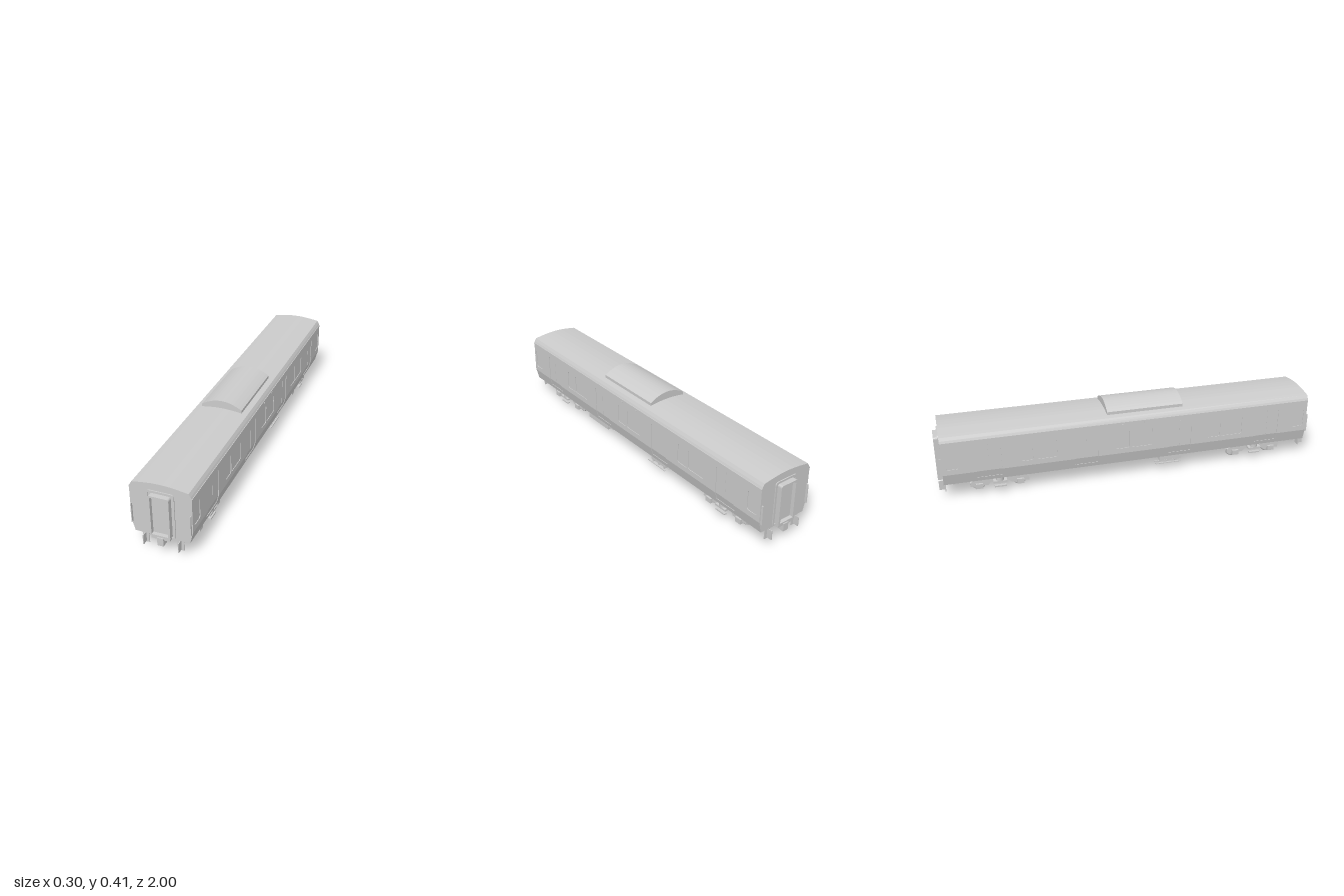
import * as THREE from 'three';

const mat = new THREE.MeshStandardMaterial({ color: 0xcccccc, side: THREE.DoubleSide });
const W = 0.148, L = 0.975, T = 0.003, BEND = 0.15; // half width, half length, skin depth, side bend height

function add(parent, name, geo, x = 0, y = 0, z = 0) {
  const m = new THREE.Mesh(geo, mat);
  m.name = name;
  m.position.set(x, y, z);
  parent.add(m);
  return m;
}

// box given by its limits
function box(parent, name, x0, x1, y0, y1, z0, z1) {
  return add(parent, name, new THREE.BoxGeometry(x1 - x0, y1 - y0, z1 - z0),
    (x0 + x1) / 2, (y0 + y1) / 2, (z0 + z1) / 2);
}

const poly = pts => new THREE.Shape(pts.map(p => new THREE.Vector2(...p)));

const extrude = (shape, depth) =>
  new THREE.ExtrudeGeometry(shape, { depth, bevelEnabled: false, curveSegments: 6 });

function roundRect(C, x0, x1, y0, y1, r, rb = r) {
  const s = new C();
  s.moveTo(x0 + rb, y0);
  s.lineTo(x1 - rb, y0);
  s.quadraticCurveTo(x1, y0, x1, y0 + rb);
  s.lineTo(x1, y1 - r);
  s.quadraticCurveTo(x1, y1, x1 - r, y1);
  s.lineTo(x0 + r, y1);
  s.quadraticCurveTo(x0, y1, x0, y1 - r);
  s.lineTo(x0, y0 + rb);
  s.quadraticCurveTo(x0, y0, x0 + rb, y0);
  return s;
}

const doors = [-0.745, -0.25, 0.25, 0.745];
const DW = 0.0625;

// one outer side skin with door slots and window openings, facing +x
function makeSide() {
  const g = new THREE.Group();
  const upper = new THREE.Shape();
  upper.moveTo(-L, BEND);
  for (const d of doors) {
    upper.lineTo(d - DW, BEND);
    upper.lineTo(d - DW, 0.285);
    upper.quadraticCurveTo(d - DW, 0.297, d - DW + 0.012, 0.297);
    upper.lineTo(d + DW - 0.012, 0.297);
    upper.quadraticCurveTo(d + DW, 0.297, d + DW, 0.285);
    upper.lineTo(d + DW, BEND);
  }
  upper.lineTo(L, BEND);
  upper.lineTo(L, 0.325);
  upper.lineTo(-L, 0.325);
  for (const c of [-0.5, 0, 0.5]) {
    upper.holes.push(roundRect(THREE.Path, c - 0.098, c - 0.025, 0.178, 0.28, 0.012));
    upper.holes.push(roundRect(THREE.Path, c - 0.019, c + 0.098, 0.178, 0.28, 0.012));
  }
  for (const c of [-0.925, 0.925])
    upper.holes.push(roundRect(THREE.Path, c - 0.032, c + 0.032, 0.178, 0.28, 0.014));
  add(g, 'upperSidePanel', extrude(upper, T).rotateY(Math.PI / 2), W - T);

  const pts = [[-L, 0.09], [L, 0.09], [L, BEND]];
  for (const d of [...doors].reverse())
    pts.push([d + DW, BEND], [d + DW, 0.112], [d - DW, 0.112], [d - DW, BEND]);
  pts.push([-L, BEND]);
  const low = extrude(poly(pts), T).rotateY(Math.PI / 2);
  const p = low.attributes.position;
  for (let i = 0; i < p.count; i++) // lean the lower skin inward
    p.setX(i, p.getX(i) - (BEND - p.getY(i)) * 0.26);
  low.computeVertexNormals();
  add(g, 'lowerSidePanel', low, W - T);

  // meeting line of the door leaves, gutter and end handrails
  for (const d of doors) box(g, 'doorSeam', W - T, W - T + 0.001, BEND, 0.295, d - 0.001, d + 0.001);
  box(g, 'gutter', W - 0.001, W + 0.002, 0.321, 0.327, -L, L);
  for (const s of [-1, 1]) {
    box(g, 'cornerHandrail', 0.139, 0.143, 0.14, 0.24, s * 0.98 - 0.006, s * 0.98 + 0.006);
    box(g, 'markerLamp', W, W + 0.003, 0.309, 0.317, s * 0.06 - 0.004, s * 0.06 + 0.004);
  }
  return g;
}

// gangway and underhung fittings of the +z end
function makeEnd() {
  const g = new THREE.Group();
  const outer = roundRect(THREE.Shape, -0.066, 0.066, 0.1, 0.33, 0.018, 0.002);
  outer.holes.push(roundRect(THREE.Path, -0.058, 0.058, 0.104, 0.323, 0.014, 0.002));
  add(g, 'gangwaySurround', extrude(outer, 0.005), 0, 0, L);
  const frame = roundRect(THREE.Shape, -0.05, 0.05, 0.105, 0.315, 0.012, 0.002);
  frame.holes.push(roundRect(THREE.Path, -0.04, 0.04, 0.112, 0.306, 0.008, 0.002));
  add(g, 'gangwayFrame', extrude(frame, 1 - L), 0, 0, L);
  box(g, 'endDoor', -0.04, 0.04, 0.112, 0.306, L, L + 0.006);
  box(g, 'gangwayStep', -0.045, 0.045, 0.088, 0.105, 0.93, 0.995);
  box(g, 'coupler', -0.015, 0.015, 0.057, 0.098, 0.88, 1);
  box(g, 'headstock', -0.09, 0.09, 0.066, 0.09, 0.9, 0.925);
  for (const s of [-1, 1]) {
    box(g, 'stepBracket', s * 0.085 - 0.016, s * 0.085 + 0.016, 0.035, 0.09, 0.965, 0.969);
    box(g, 'stepBracketPlate', s * 0.085 - 0.002, s * 0.085 + 0.002, 0.04, 0.09, 0.965, 0.998);
    box(g, 'footPlate', s * 0.085 - 0.014, s * 0.085 + 0.014, 0.066, 0.09, 0.88, 0.93);
  }
  return g;
}

function makeBogie() {
  const g = new THREE.Group();
  const wheel = new THREE.LatheGeometry([[0.006, -0.005], [0.033, -0.004], [0.036, -0.006], [0.0405, -0.005],
    [0.0405, -0.002], [0.037, 0.006], [0.033, 0.004], [0.006, 0.005]].map(p => new THREE.Vector2(...p)), 24).rotateZ(-Math.PI / 2);
  const axle = new THREE.CylinderGeometry(0.006, 0.006, 0.2, 12).rotateZ(Math.PI / 2);
  const side = poly([[-0.15, 0.038], [-0.06, 0.038], [-0.045, 0.055], [0.045, 0.055], [0.06, 0.038],
    [0.15, 0.038], [0.15, 0.06], [0.125, 0.076], [0.05, 0.076], [0.04, 0.068], [-0.04, 0.068],
    [-0.05, 0.076], [-0.125, 0.076], [-0.15, 0.06]]);
  const sideGeo = extrude(side, 0.012).rotateY(Math.PI / 2);
  for (const z of [-0.105, 0.105]) {
    add(g, 'axle', axle, 0, 0.0405, z);
    for (const s of [-1, 1]) {
      const w = add(g, 'wheel', wheel, s * 0.059, 0.0405, z);
      w.rotation.y = s < 0 ? Math.PI : 0;
      box(g, 'axleBox', s * 0.096 - 0.012, s * 0.096 + 0.012, 0.028, 0.054, z - 0.018, z + 0.018);
    }
  }
  for (const s of [-1, 1]) {
    add(g, 'bogieSideFrame', sideGeo, s * 0.09 - 0.006);
    add(g, 'airSpring', new THREE.CylinderGeometry(0.02, 0.02, 0.024, 16), s * 0.106, 0.08, 0);
    box(g, 'springSeat', s * 0.105 - 0.02, s * 0.105 + 0.02, 0.058, 0.068, -0.035, 0.035);
    box(g, 'shoeBeam', s * 0.116 - 0.008, s * 0.116 + 0.008, 0.034, 0.041, -0.03, 0.03);
  }
  box(g, 'bolster', -0.09, 0.09, 0.055, 0.08, -0.025, 0.025);
  add(g, 'centrePivot', new THREE.CylinderGeometry(0.018, 0.018, 0.03, 16), 0, 0.078, 0);
  return g;
}

// light rail with hangers below the floor edge
function makeCollector() {
  const g = new THREE.Group();
  box(g, 'collectorMount', 0.085, 0.118, 0.06, 0.092, -0.27, -0.15);
  box(g, 'collectorRail', 0.117, 0.123, 0.042, 0.046, -0.27, -0.13);
  box(g, 'collectorRail', 0.09, 0.094, 0.042, 0.046, -0.27, -0.13);
  for (const z of [-0.245, -0.2, -0.155]) {
    box(g, 'collectorTie', 0.09, 0.123, 0.042, 0.045, z - 0.004, z + 0.004);
    box(g, 'collectorHanger', 0.104, 0.11, 0.044, 0.09, z - 0.004, z + 0.004);
  }
  return g;
}

export function createModel() {
  const model = new THREE.Group();
  model.name = 'railwayCarriage';

  // body core behind the side skins, roof on top
  const half = [[0.1294, 0.09], [W - T, BEND], [W - T, 0.325], [W, 0.325], [0.143, 0.337], [0.134, 0.352],
    [0.11, 0.356], [0.08, 0.3605], [0.045, 0.3645], [0.015, 0.366]];
  const profile = [...half, ...half.map(([x, y]) => [-x, y]).reverse()];
  add(model, 'body', extrude(poly(profile), 2 * L), 0, 0, -L);

  // raised roof pod
  const pod = new THREE.Shape();
  pod.moveTo(-0.105, 0.345);
  pod.lineTo(0.105, 0.345);
  pod.lineTo(0.105, 0.372);
  const n = 14;
  for (let i = 1; i <= n; i++) {
    const t = 1 - 2 * i / n;
    pod.lineTo(0.105 * t, 0.372 + 0.034 * (1 - t * t));
  }
  add(model, 'roofPod', extrude(pod, 0.405), 0, 0, -0.13);

  for (const turn of [0, Math.PI]) {
    const halves = { side: makeSide(), end: makeEnd(), currentCollector: makeCollector() };
    for (const [name, g] of Object.entries(halves)) {
      g.name = name;
      g.rotation.y = turn;
      model.add(g);
    }
    const bogie = makeBogie();
    bogie.name = 'bogie';
    bogie.position.z = turn ? -0.695 : 0.695;
    model.add(bogie);
  }

  // underfloor equipment
  const under = new THREE.Group();
  under.name = 'underfloorEquipment';
  model.add(under);
  box(under, 'equipmentCase', 0.02, 0.093, 0.022, 0.092, 0.285, 0.475);
  box(under, 'smallCase', -0.05, 0.01, 0.04, 0.092, 0.31, 0.37);
  box(under, 'smallCase', -0.05, 0.0, 0.045, 0.092, 0.42, 0.455);
  box(under, 'smallCase', 0.05, 0.1, 0.05, 0.092, 0.22, 0.27);
  box(under, 'smallCase', -0.05, 0.02, 0.04, 0.092, -0.385, -0.31);
  box(under, 'smallCase', -0.02, 0.04, 0.043, 0.092, -0.47, -0.44);
  box(under, 'compressorFrame', 0.03, 0.1, 0.065, 0.09, -0.065, 0.12);
  for (const z of [-0.02, 0.06])
    box(under, 'compressorStrap', -0.06, 0.1, 0.06, 0.09, z - 0.006, z + 0.006);
  add(under, 'airTank', new THREE.CylinderGeometry(0.018, 0.018, 0.13, 16).rotateX(Math.PI / 2), -0.03, 0.063, 0.03);
  add(under, 'motor', new THREE.CylinderGeometry(0.025, 0.02, 0.045, 16), 0.02, 0.065, 0.03);
  return model;
}
